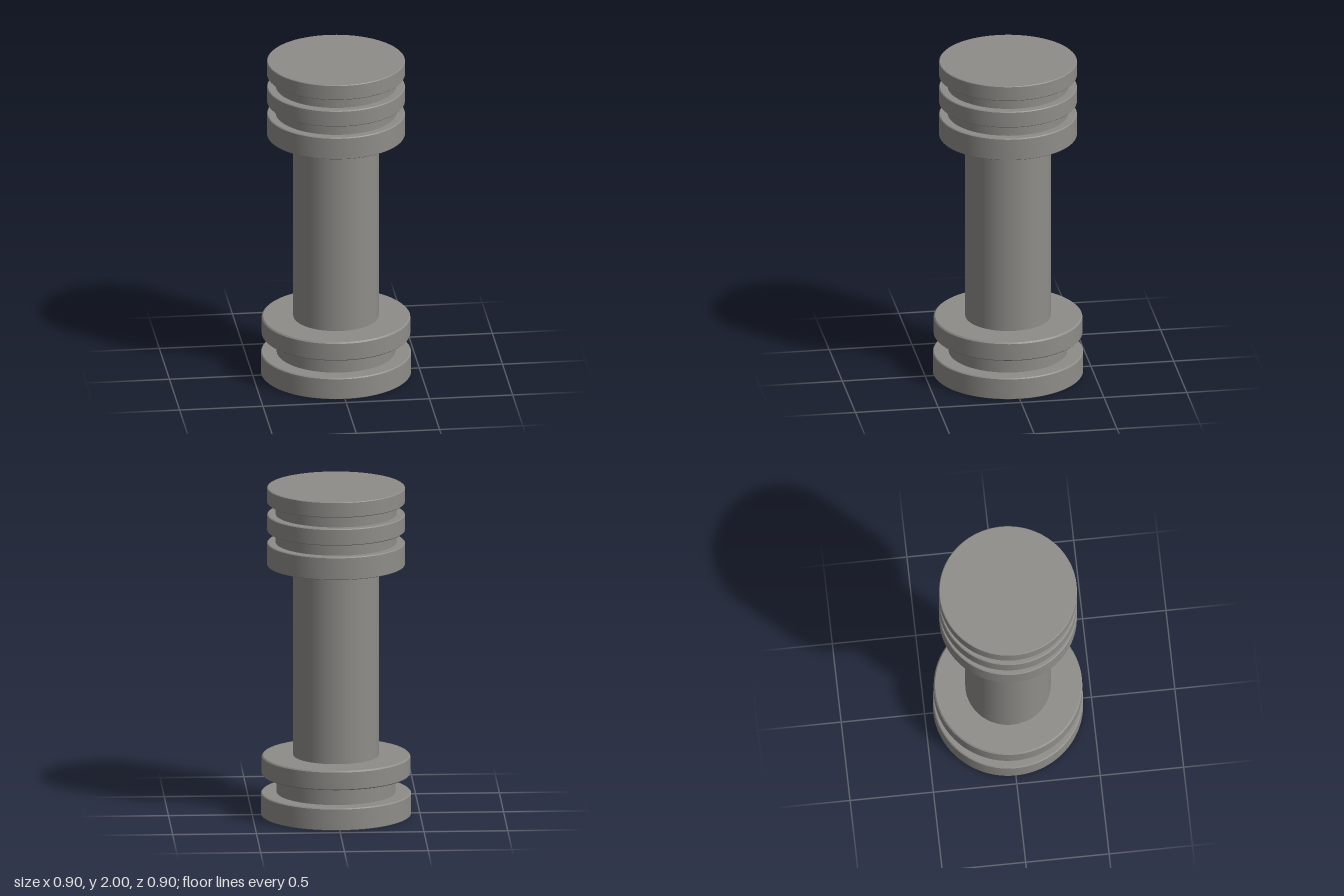
import * as THREE from 'three';
import { toCreasedNormals } from 'three/addons/utils/BufferGeometryUtils.js';

const SEGMENTS = 96;

export function createModel() {
  const group = new THREE.Group();
  group.name = 'column';
  const stone = new THREE.MeshStandardMaterial({ color: 0x8f8d89 });
  stone.name = 'grey stone';

  // Solid disc from y0 to y1 with small chamfers on its lower and upper rims
  function disc(name, radius, y0, y1, low, high) {
    const points = [
      [0, y0], [radius - low, y0], [radius, y0 + low],
      [radius, y1 - high], [radius - high, y1], [0, y1],
    ].map(([x, y]) => new THREE.Vector2(x, y));
    const geometry = toCreasedNormals(new THREE.LatheGeometry(points, SEGMENTS), 0.5);
    const mesh = new THREE.Mesh(geometry, stone);
    mesh.name = name;
    group.add(mesh);
  }

  // Plain round section joining two discs
  function core(name, radius, y0, y1) {
    const geometry = new THREE.CylinderGeometry(radius, radius, y1 - y0, SEGMENTS, 1, true);
    const mesh = new THREE.Mesh(geometry, stone);
    mesh.name = name;
    mesh.position.y = (y0 + y1) / 2;
    group.add(mesh);
  }

  // Base
  disc('baseFoot', 0.448, 0, 0.135, 0.004, 0.006);
  core('baseNeck', 0.354, 0.135, 0.245);
  disc('baseCollar', 0.443, 0.245, 0.362, 0.006, 0.008);

  // Shaft
  core('shaft', 0.255, 0.362, 1.525);

  // Capital
  disc('capitalLower', 0.411, 1.525, 1.663, 0.003, 0.005);
  core('capitalLowerNeck', 0.36, 1.663, 1.735);
  disc('capitalMiddle', 0.411, 1.735, 1.836, 0.004, 0.005);
  core('capitalUpperNeck', 0.36, 1.836, 1.906);
  disc('capitalTop', 0.411, 1.906, 2, 0.004, 0.004);

  return group;
}
